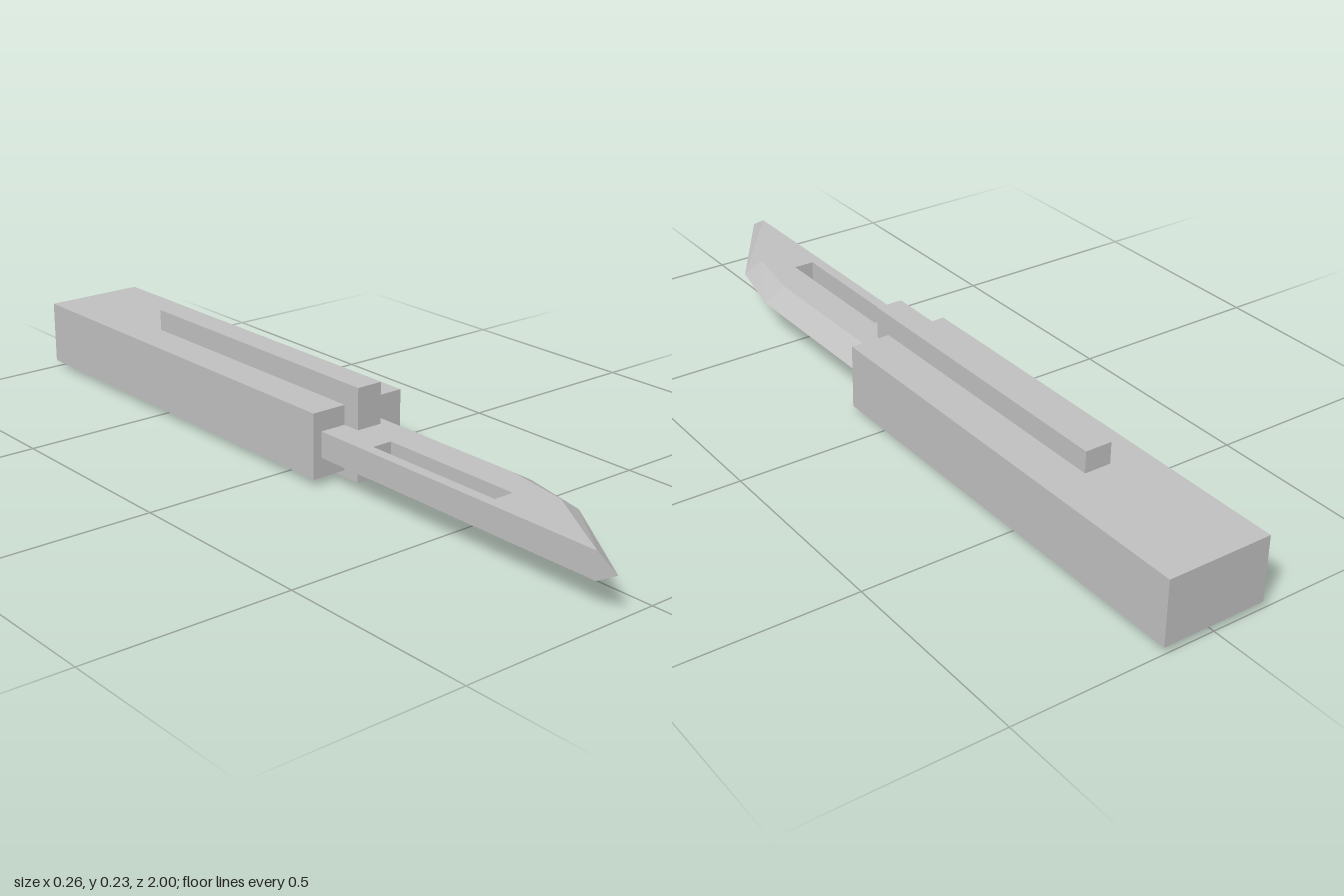
import * as THREE from 'three';

const metal = new THREE.MeshStandardMaterial({ color: 0xc0c0c0 });
metal.name = 'light grey';

// Box given by its lower and upper corners
function box(name, min, max) {
  const size = max.map((v, i) => v - min[i]);
  const geo = new THREE.BoxGeometry(...size);
  geo.translate(...min.map((v, i) => v + size[i] / 2));
  const mesh = new THREE.Mesh(geo, metal);
  mesh.name = name;
  return mesh;
}

// Slotted blade: the middle layer of the extrusion is pushed out to the cutting edge
function makeBlade() {
  const top = 0.129, bottom = 0.065, thick = top - bottom;
  const flat = [[-0.107, 0.05], [0.053, 0.05], [0.053, 0.56], [0.025, 0.725], [-0.107, 0.945]];
  const edge = [[-0.107, 0.05], [0.109, 0.05], [0.109, 0.56], [0.07, 0.735], [-0.107, 1]];
  const toPoints = (list) => list.map(([x, z]) => new THREE.Vector2(x, z));

  const shape = new THREE.Shape(toPoints(flat));
  shape.holes.push(new THREE.Path(toPoints([[-0.08, 0.26], [-0.08, 0.64], [-0.028, 0.64], [-0.028, 0.26]])));
  const geo = new THREE.ExtrudeGeometry(shape, { depth: thick, steps: 2, bevelEnabled: false });

  const pos = geo.attributes.position;
  for (let i = 0; i < pos.count; i++) {
    if (Math.abs(pos.getZ(i) - thick / 2) > 1e-4) continue;
    const k = flat.findIndex(([x, z]) => Math.hypot(pos.getX(i) - x, pos.getY(i) - z) < 1e-4);
    if (k >= 0) pos.setXY(i, ...edge[k]);
  }
  geo.rotateX(Math.PI / 2);
  geo.translate(0, top, 0);
  geo.computeVertexNormals();

  const mesh = new THREE.Mesh(geo, metal);
  mesh.name = 'blade';
  return mesh;
}

export function createModel() {
  const model = new THREE.Group();
  model.name = 'craft knife';
  model.add(
    box('handle', [-0.13, 0.017, -1], [0.13, 0.177, 0.113]),
    // Slider bar running through the handle, showing above and below
    box('slider', [-0.039, 0, -0.622], [0.028, 0.23, 0.16]),
    makeBlade(),
  );
  return model;
}
